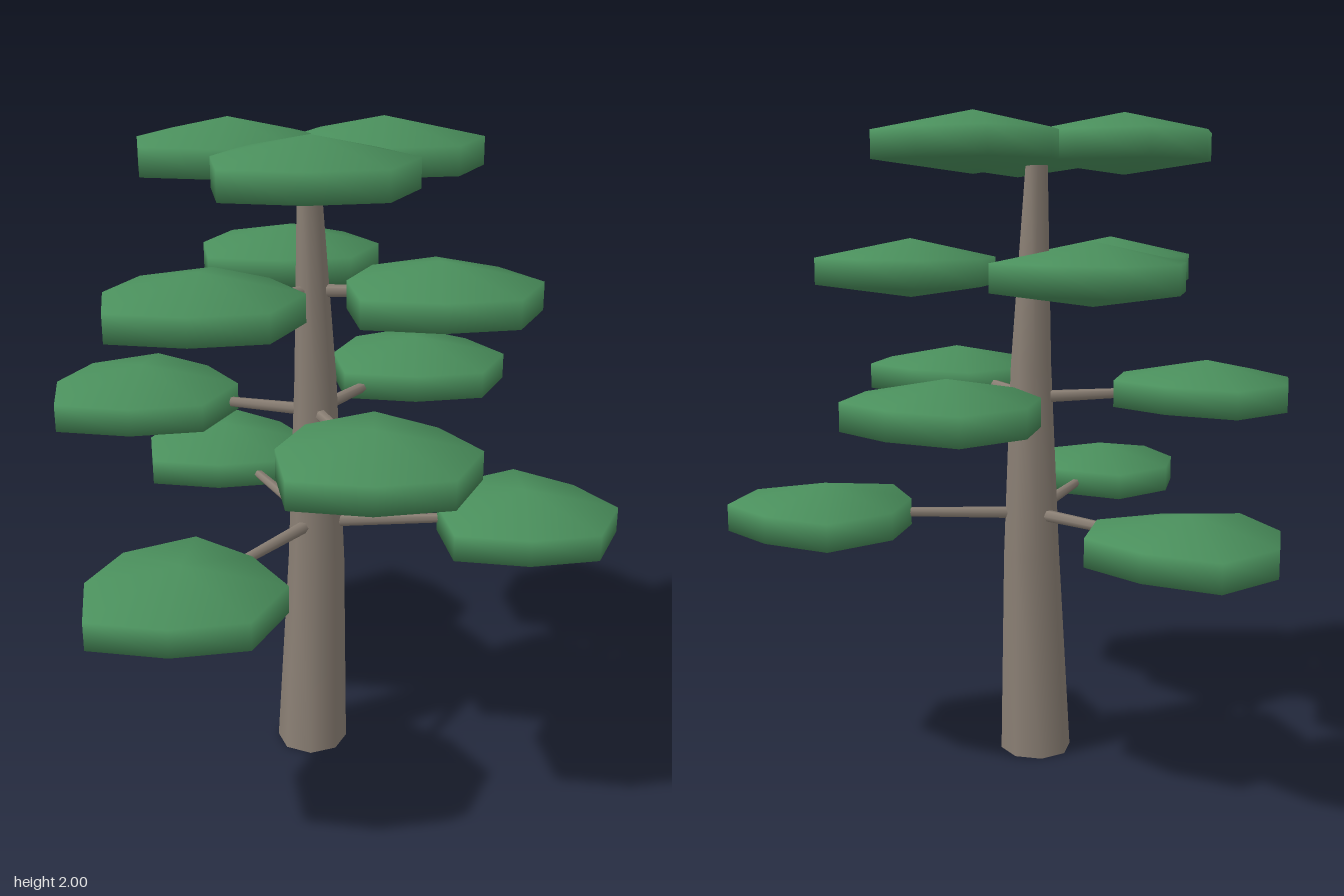
import * as THREE from 'three';
import { mergeVertices, toCreasedNormals } from 'three/addons/utils/BufferGeometryUtils.js';

const leaf = new THREE.MeshStandardMaterial({ color: 0x4a8f5c });
const bark = new THREE.MeshStandardMaterial({ color: 0x8a7f74 });

// Weld the lathe seam and recompute smooth normals
function weld(geometry) {
  geometry.deleteAttribute('uv');
  geometry.deleteAttribute('normal');
  const welded = mergeVertices(geometry, 1e-4);
  welded.computeVertexNormals();
  return welded;
}

// Flat eight-sided leaf pad: shallow cones above and below an uneven rim
function padGeometry() {
  const radii = [0.256, 0.297, 0.293, 0.253, 0.31, 0.274, 0.265, 0.316];
  const profile = [[0, -0.09], [1, -0.05], [1, 0.032], [0, 0.09]].map(p => new THREE.Vector2(...p));
  const geometry = new THREE.LatheGeometry(profile, 8);
  const pos = geometry.attributes.position;
  for (let i = 0; i < pos.count; i++) {
    const r = radii[Math.floor(i / profile.length) % 8];
    pos.setX(i, pos.getX(i) * r);
    pos.setZ(i, pos.getZ(i) * r);
  }
  return weld(geometry);
}

// Trunk cross-sections: y, radius, centre x, centre z
const sections = [
  [0.005, 0.112, -0.085, 0.03], [0.65, 0.088, -0.068, 0.018],
  [1.25, 0.063, -0.067, 0.033], [1.85, 0.034, -0.082, 0.03],
];

// Tapering, slightly bent trunk with closed ends
function trunkGeometry() {
  const rows = [sections[0], ...sections, sections[3]];
  const profile = rows.map(([y, r], j) => new THREE.Vector2(j === 0 || j === rows.length - 1 ? 0 : r, y));
  const geometry = new THREE.LatheGeometry(profile, 8);
  const pos = geometry.attributes.position;
  for (let i = 0; i < pos.count; i++) {
    const [, , x, z] = rows[i % rows.length];
    pos.setX(i, pos.getX(i) + x);
    pos.setZ(i, pos.getZ(i) + z);
  }
  return toCreasedNormals(weld(geometry), 1);
}

// Thin tapering limb between two points
function branch(from, to) {
  const dir = to.clone().sub(from);
  const mesh = new THREE.Mesh(new THREE.CylinderGeometry(0.011, 0.02, dir.length(), 6), bark);
  mesh.position.copy(from).addScaledVector(dir, 0.5);
  mesh.quaternion.setFromUnitVectors(new THREE.Vector3(0, 1, 0), dir.normalize());
  mesh.name = 'branch';
  return mesh;
}

export function createModel() {
  const tree = new THREE.Group();
  tree.name = 'tree';

  const trunk = new THREE.Mesh(trunkGeometry(), bark);
  trunk.name = 'trunk';
  tree.add(trunk);

  // Four tiers of three pads, narrowing toward the top
  const tiers = [
    { y: 0.807, pads: [[0.573, 0.03], [-0.41, -0.542], [-0.41, 0.588]] },
    { y: 1.173, pads: [[-0.602, -0.05], [0.24, -0.385], [0.11, 0.507]] },
    { y: 1.543, pads: [[-0.175, -0.36], [0.293, 0.135], [-0.372, 0.29]] },
    { y: 1.91, pads: [[-0.322, -0.09], [0.13, -0.125], [-0.065, 0.285]] },
  ];
  const pad = padGeometry();
  tiers.forEach(({ y, pads }, t) => {
    const tier = new THREE.Group();
    tier.name = 'tier' + (t + 1);
    for (const [x, z] of pads) {
      const foliage = new THREE.Mesh(pad, leaf);
      foliage.name = 'foliage';
      foliage.position.set(x, y, z);
      tier.add(foliage);
      // The top tier rests directly on the trunk
      if (t < 3) {
        tier.add(branch(new THREE.Vector3(-0.07, y - 0.025, 0.028), new THREE.Vector3(x, y, z)));
      }
    }
    tree.add(tier);
  });
  return tree;
}
